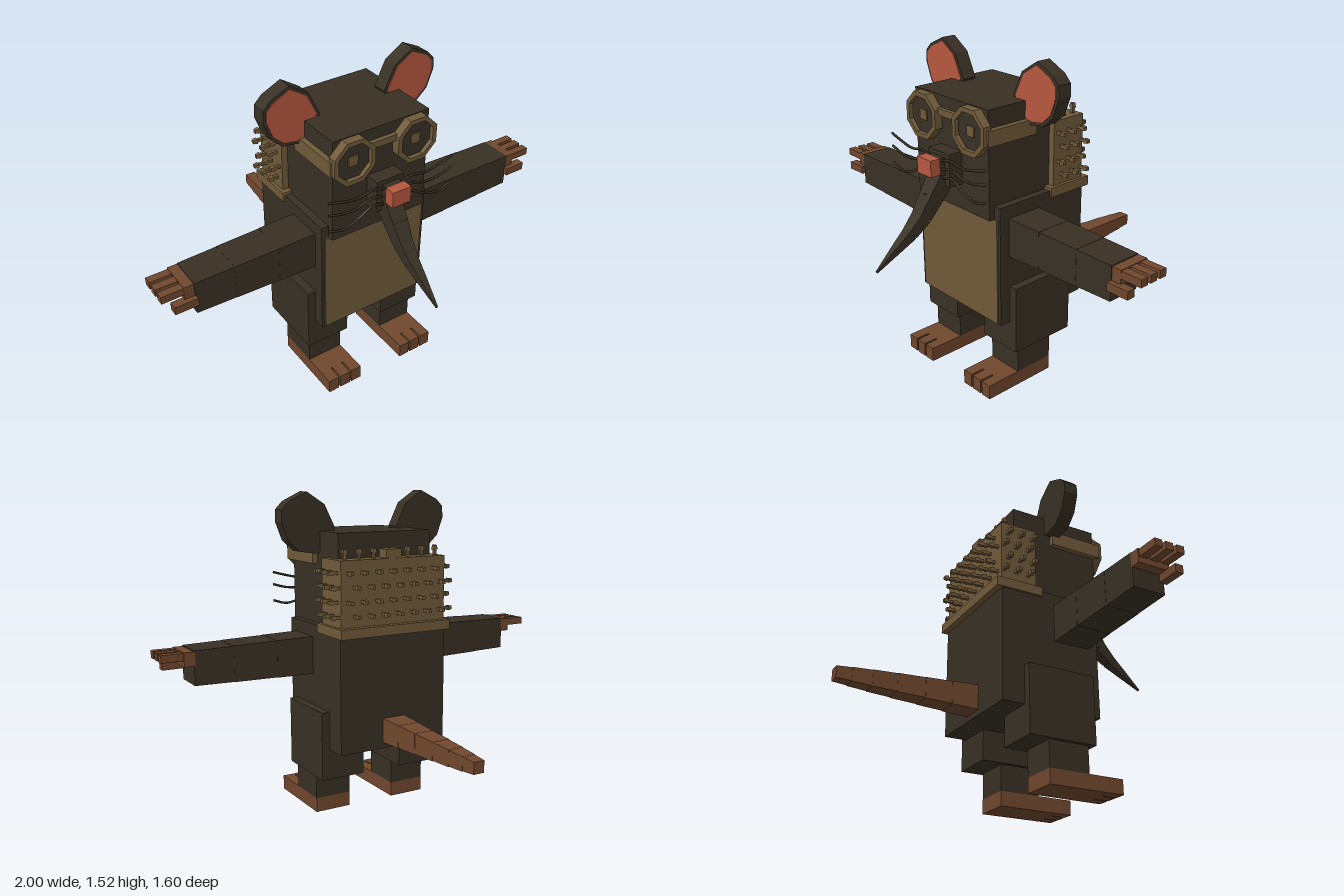
import * as THREE from 'three';

export function createModel() {
  const model = new THREE.Group();
  model.name = 'rodent';
  const colour = (name, hex) => {
    const m = new THREE.MeshStandardMaterial({ color: hex });
    m.name = name;
    return m;
  };
  const fur = colour('dark fur', 0x383024);
  const tan = colour('tan', 0x705a39);
  const skin = colour('bare skin', 0x70472d);
  const pink = colour('pink', 0xb6583e);

  const add = (name, geo, mat, parent = model) => {
    const m = new THREE.Mesh(geo, mat);
    m.name = name;
    parent.add(m);
    return m;
  };
  // Box given by its limits on each axis
  const box = (name, mat, x0, x1, y0, y1, z0, z1, parent = model) => {
    const m = add(name, new THREE.BoxGeometry(Math.abs(x1 - x0), y1 - y0, z1 - z0), mat, parent);
    m.position.set((x0 + x1) / 2, (y0 + y1) / 2, (z0 + z1) / 2);
    return m;
  };
  // Square tapered bar between two points, with half widths h0 and h1
  const up = new THREE.Vector3(0, 1, 0);
  const bar = (name, mat, a, b, h0, h1, parent = model) => {
    const p = new THREE.Vector3(...a), q = new THREE.Vector3(...b);
    const dir = q.clone().sub(p);
    const geo = new THREE.CylinderGeometry(h1 * Math.SQRT2, h0 * Math.SQRT2, dir.length(), 4)
      .rotateY(Math.PI / 4).toNonIndexed();
    geo.computeVertexNormals();
    const m = add(name, geo, mat, parent);
    m.quaternion.setFromUnitVectors(up, dir.normalize());
    m.position.copy(p.add(q).multiplyScalar(0.5));
    return m;
  };
  const extrude = (shape, depth) => new THREE.ExtrudeGeometry(shape, { depth, bevelEnabled: false });

  // Body and head
  box('body', fur, -0.28, 0.28, 0.34, 0.91, -0.15, 0.35);
  box('belly', tan, -0.265, 0.265, 0.345, 0.85, 0.35, 0.357);
  box('head', fur, -0.245, 0.245, 0.85, 1.34, -0.07, 0.38);
  box('snout', fur, -0.07, 0.07, 0.97, 1.12, 0.38, 0.45);
  box('snoutTip', fur, -0.042, 0.042, 1.02, 1.1, 0.45, 0.48);
  box('nose', pink, -0.047, 0.047, 1.03, 1.105, 0.48, 0.53);

  // Drooping trunk
  const trunk = [[0.44, 1.0, 0.042], [0.5, 0.92, 0.038], [0.555, 0.845, 0.032],
    [0.62, 0.785, 0.025], [0.7, 0.73, 0.016], [0.8, 0.66, 0.004]];
  for (let i = 0; i < trunk.length - 1; i++) {
    const [z0, y0, h0] = trunk[i], [z1, y1, h1] = trunk[i + 1];
    bar('trunkSegment', fur, [0, y0, z0], [0, y1, z1], h0, h1);
  }

  // Tail
  const tail = [-0.15, -0.275, -0.4, -0.53, -0.64, -0.73, -0.8];
  for (let i = 0; i < 6; i++) {
    const h = 0.058 - i * 0.0055, y = 0.427 + i * 0.0006;
    bar('tailSegment', skin, [0, y, tail[i]], [0, y, tail[i + 1]], h, h - 0.004);
  }

  // Shell with knobbed spikes
  box('shell', tan, -0.275, 0.275, 0.92, 1.225, -0.15, 0.03);
  box('shellRim', tan, -0.29, 0.29, 0.88, 0.925, -0.18, 0.055);
  box('shellCap', tan, -0.04, 0.04, 1.225, 1.265, -0.145, -0.08);
  const spike = (p, n) => {
    const at = d => p.map((v, i) => v + n[i] * d);
    bar('spikeStem', tan, p, at(0.035), 0.007, 0.007);
    bar('spikeKnob', tan, at(0.026), at(0.047), 0.011, 0.008);
  };
  for (let r = 0; r < 4; r++) {
    const y = 0.975 + r * 0.065, shift = r % 2 ? 0.018 : -0.018;
    for (let c = 0; c < 7; c++) spike([-0.225 + c * 0.075 + shift, y, -0.15], [0, 0, -1]);
    for (const s of [-1, 1])
      for (let c = 0; c < 3; c++) spike([s * 0.275, y, -0.13 + c * 0.064 + shift * 0.6], [s, 0, 0]);
  }
  for (const x of [-0.24, -0.165, -0.09, 0.09, 0.165, 0.24]) spike([x, 1.225, -0.118], [0, 1, 0]);

  // Goggle bridge
  box('goggleBridge', tan, -0.065, 0.065, 1.255, 1.285, 0.38, 0.4);

  const earPoints = [[0.166, 1.35], [0.22, 1.46], [0.31, 1.518], [0.4, 1.475], [0.434, 1.44],
    [0.437, 1.385], [0.405, 1.3], [0.35, 1.25], [0.257, 1.236], [0.19, 1.29]];

  for (const s of [-1, 1]) {
    const side = new THREE.Group();
    side.name = s > 0 ? 'leftSide' : 'rightSide';
    model.add(side);

    // Ear with pink inner face
    const earShape = k => new THREE.Shape(earPoints.map(([x, y]) =>
      new THREE.Vector2(s * (0.305 + (x - 0.305) * k), 1.38 + (y - 1.38) * k)));
    add('ear', extrude(earShape(1), 0.07), fur, side).position.z = 0.1;
    add('innerEar', extrude(earShape(0.89), 0.004), pink, side).position.z = 0.17;

    // Goggle: octagonal ring, lens and pupil
    const octagon = r => Array.from({ length: 8 }, (_, i) => {
      const a = (i + 0.5) * Math.PI / 4;
      return new THREE.Vector2(Math.cos(a) * r, Math.sin(a) * r);
    });
    const ring = new THREE.Shape(octagon(0.11));
    ring.holes.push(new THREE.Path(octagon(0.088)));
    add('goggleRing', extrude(ring, 0.04), tan, side).position.set(s * 0.16, 1.235, 0.38);
    add('lens', extrude(new THREE.Shape(octagon(0.09)), 0.02), fur, side).position.set(s * 0.16, 1.235, 0.38);
    box('pupil', tan, s * 0.16 - 0.023, s * 0.16 + 0.023, 1.213, 1.259, 0.4, 0.406, side);
    box('goggleStrap', tan, s * 0.24, s * 0.27, 1.19, 1.26, 0.13, 0.4, side);

    // Wavy whiskers
    for (const [y, end] of [[1.09, 1.115], [1.05, 1.055], [1.01, 0.975]]) {
      const curve = new THREE.CatmullRomCurve3([
        [0.04, y], [0.1, y + 0.012], [0.18, (y + end) / 2 - 0.012], [0.25, end - 0.012], [0.325, end + 0.008],
      ].map(([x, py]) => new THREE.Vector3(s * x, py, 0.462)));
      add('whisker', new THREE.TubeGeometry(curve, 12, 0.006, 5), fur, side);
    }

    // Arm, palm, fingers and thumb
    const armX = [0.27, 0.46, 0.67, 0.855];
    for (let i = 0; i < 3; i++) {
      const h = 0.09 - i * 0.004;
      bar('armSegment', fur, [s * armX[i], 0.76, 0.21], [s * armX[i + 1], 0.76, 0.21], h, h - 0.003, side);
    }
    box('palm', skin, s * 0.85, s * 0.9, 0.77, 0.835, 0.13, 0.285, side);
    for (const z of [0.155, 0.21, 0.265])
      box('finger', skin, s * 0.89, s * 1, 0.797, 0.832, z - 0.019, z + 0.019, side);
    box('thumb', skin, s * 0.85, s * 0.957, 0.736, 0.774, 0.268, 0.308, side);

    // Leg and foot
    box('thigh', fur, s * 0.1, s * 0.32, 0.195, 0.52, -0.04, 0.295, side);
    box('shin', fur, s * 0.12, s * 0.3, 0.07, 0.2, 0.065, 0.265, side);
    box('foot', skin, s * 0.12, s * 0.3, 0, 0.07, 0.065, 0.37, side);
    for (const x of [0.147, 0.21, 0.273])
      box('toe', skin, s * (x - 0.027), s * (x + 0.027), 0, 0.07, 0.36, 0.44, side);
  }
  return model;
}
